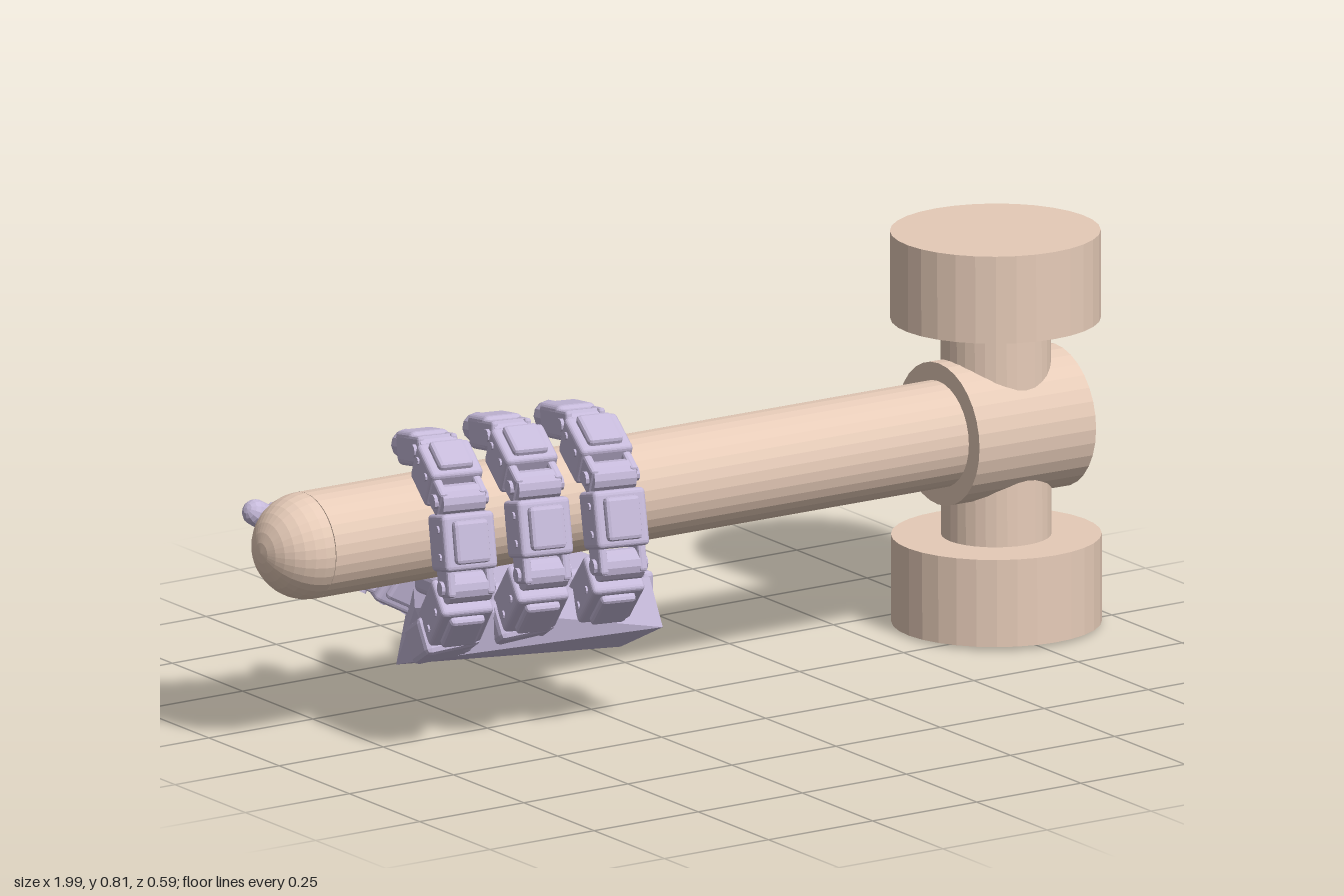
import * as THREE from 'three';
import { RoundedBoxGeometry } from 'three/addons/geometries/RoundedBoxGeometry.js';
import { ConvexGeometry } from 'three/addons/geometries/ConvexGeometry.js';

const V = (x, y, z) => new THREE.Vector3(x, y, z);
const wood = new THREE.MeshStandardMaterial({ color: 0xe6cbb8, flatShading: true });
const shell = new THREE.MeshStandardMaterial({ color: 0xc6bada, flatShading: true });

function add(parent, name, geometry, material, x = 0, y = 0, z = 0) {
  const m = new THREE.Mesh(geometry, material);
  m.name = name;
  m.position.set(x, y, z);
  parent.add(m);
  return m;
}

// Cylinder between two points
function rod(parent, name, a, b, r, material, sides = 32) {
  const d = b.clone().sub(a);
  const m = add(parent, name, new THREE.CylinderGeometry(r, r, d.length(), sides), material);
  m.position.copy(a).addScaledVector(d, 0.5);
  m.quaternion.setFromUnitVectors(V(0, 1, 0), d.normalize());
  return m;
}

// Group at a, with z running to b, x along the hinge axis, y towards the outside of the digit
function frame(parent, name, a, b, axis) {
  const z = b.clone().sub(a).normalize();
  const y = z.clone().cross(axis).normalize();
  const x = y.clone().cross(z);
  const g = new THREE.Group();
  g.name = name;
  g.position.copy(a);
  g.quaternion.setFromRotationMatrix(new THREE.Matrix4().makeBasis(x, y, z));
  parent.add(g);
  return g;
}

// One jointed link: hinge, fork plates, body and raised cover
function link(parent, name, a, b, axis, w, t, isTip) {
  const g = frame(parent, name, a, b, axis);
  const L = a.distanceTo(b);
  const hinge = add(g, 'hinge', new THREE.CylinderGeometry(t * 0.36, t * 0.36, w * 0.8, 14), shell);
  hinge.rotation.z = Math.PI / 2;
  for (const s of [-1, 1]) {
    add(g, 'forkPlate', new RoundedBoxGeometry(w * 0.16, t * 0.72, L * 0.45, 1, 0.006), shell, s * w * 0.37, 0, L * 0.12);
    const pin = add(g, 'hingePin', new THREE.CylinderGeometry(t * 0.17, t * 0.17, 0.012, 10), shell, s * w * 0.46, 0, 0);
    pin.rotation.z = Math.PI / 2;
  }
  if (isTip) {
    // Rounded fingertip
    add(g, 'tipBody', new RoundedBoxGeometry(w * 0.9, t * 0.9, L * 0.5, 2, 0.014), shell, 0, 0, L * 0.36);
    const pad = add(g, 'tipPad', new THREE.CapsuleGeometry(t * 0.4, L * 0.42, 4, 12), shell, 0, 0, L * 0.64);
    pad.rotation.x = Math.PI / 2;
  } else {
    add(g, 'body', new RoundedBoxGeometry(w, t, L * 0.66, 2, 0.01), shell, 0, 0, L * 0.52);
    add(g, 'cover', new RoundedBoxGeometry(w * 0.66, t * 0.3, L * 0.5, 1, 0.008), shell, 0, t * 0.52, L * 0.52);
    add(g, 'innerPad', new RoundedBoxGeometry(w * 0.7, t * 0.2, L * 0.4, 1, 0.006), shell, 0, -t * 0.5, L * 0.5);
    for (const s of [-1, 1])
      for (const k of [0.36, 0.68]) {
        const screw = add(g, 'screw', new THREE.CylinderGeometry(0.008, 0.008, 0.008, 8), shell, s * w * 0.5, t * 0.2, L * k);
        screw.rotation.z = Math.PI / 2;
      }
  }
}

function digit(parent, name, pts, axis, w, t) {
  const g = new THREE.Group();
  g.name = name;
  parent.add(g);
  for (let i = 0; i < pts.length - 1; i++) {
    const last = i === pts.length - 2;
    link(g, last ? 'fingertip' : 'link', pts[i], pts[i + 1], axis, w * (last ? 0.85 : 1), t * (last ? 0.9 : 1), last);
  }
}

function buildMallet() {
  const g = new THREE.Group();
  g.name = 'mallet';
  // Handle with a domed end
  const end = V(-0.892, 0.425, -0.066);
  rod(g, 'handle', end, V(0.68, 0.411, -0.09), 0.108, wood);
  const dome = add(g, 'handleDome', new THREE.SphereGeometry(0.108, 32, 8, 0, Math.PI * 2, 0, Math.PI / 2), wood);
  dome.position.copy(end);
  dome.rotation.z = Math.PI / 2;
  rod(g, 'collar', V(0.643, 0.411, -0.089), V(0.925, 0.407, -0.092), 0.145, wood);
  // Slightly leaning head: neck and two drums
  const low = V(0.78, 0.005, -0.084), high = V(0.785, 0.808, -0.096);
  const at = (k) => low.clone().lerp(high, k);
  rod(g, 'neck', at(0.2), at(0.8), 0.11, wood);
  rod(g, 'lowerDrum', at(0), at(0.223), 0.21, wood);
  rod(g, 'upperDrum', at(0.777), at(1), 0.21, wood);
  return g;
}

function buildHand() {
  const g = new THREE.Group();
  g.name = 'hand';

  // Palm: slanted block under the handle
  add(g, 'palm', new ConvexGeometry([
    V(-0.55, 0.083, -0.25), V(-0.665, 0.185, 0.06), V(-0.2, 0.13, 0.03), V(-0.2, 0.205, 0.18),
    V(-0.51, 0.26, -0.25), V(-0.65, 0.29, 0.08), V(-0.205, 0.29, -0.14), V(-0.205, 0.3, 0.14),
    V(-0.62, 0.25, -0.08)]), shell);
  add(g, 'palmPad', new RoundedBoxGeometry(0.36, 0.05, 0.2, 2, 0.015), shell, -0.42, 0.295, -0.02);
  for (const z of [-0.02, 0.1])
    add(g, 'palmRib', new RoundedBoxGeometry(0.025, 0.05, 0.05, 1, 0.008), shell, -0.195, 0.28, z);

  // Three fingers curling over the front and top of the handle
  const profile = [[0.1, 0.235], [0.235, 0.37], [0.19, 0.54], [0.04, 0.61], [-0.17, 0.572]];
  const fingers = [['firstFinger', -0.25, -0.17, 1, 0], ['middleFinger', -0.43, -0.15, 0.93, 0.005], ['lastFinger', -0.61, -0.13, 0.86, 0]];
  const axis = V(-0.975, 0, -0.224);
  for (const [name, x, z0, s, lift] of fingers) {
    const pts = profile.map(([z, y]) => V(x - 0.23 * (z * s - z0), y + lift, z * s));
    digit(g, name, pts, axis, 0.112, 0.088);
    // Knuckle mount on the palm edge
    const mount = add(g, 'knuckleMount', new RoundedBoxGeometry(0.12, 0.08, 0.1, 1, 0.012), shell);
    mount.position.copy(pts[0]).add(V(0, 0, -0.01));
    mount.rotation.set(-0.5, -0.2, 0);
  }

  // Thumb along the back of the handle
  const thumb = [V(-0.46, 0.215, -0.225), V(-0.61, 0.295, -0.25), V(-0.76, 0.375, -0.245), V(-0.935, 0.475, -0.215)];
  digit(g, 'thumb', thumb, V(-0.48, 0.87, 0.05).normalize().negate(), 0.105, 0.075);
  return g;
}

export function createModel() {
  const root = new THREE.Group();
  root.name = 'handHoldingMallet';
  root.add(buildMallet(), buildHand());
  return root;
}
